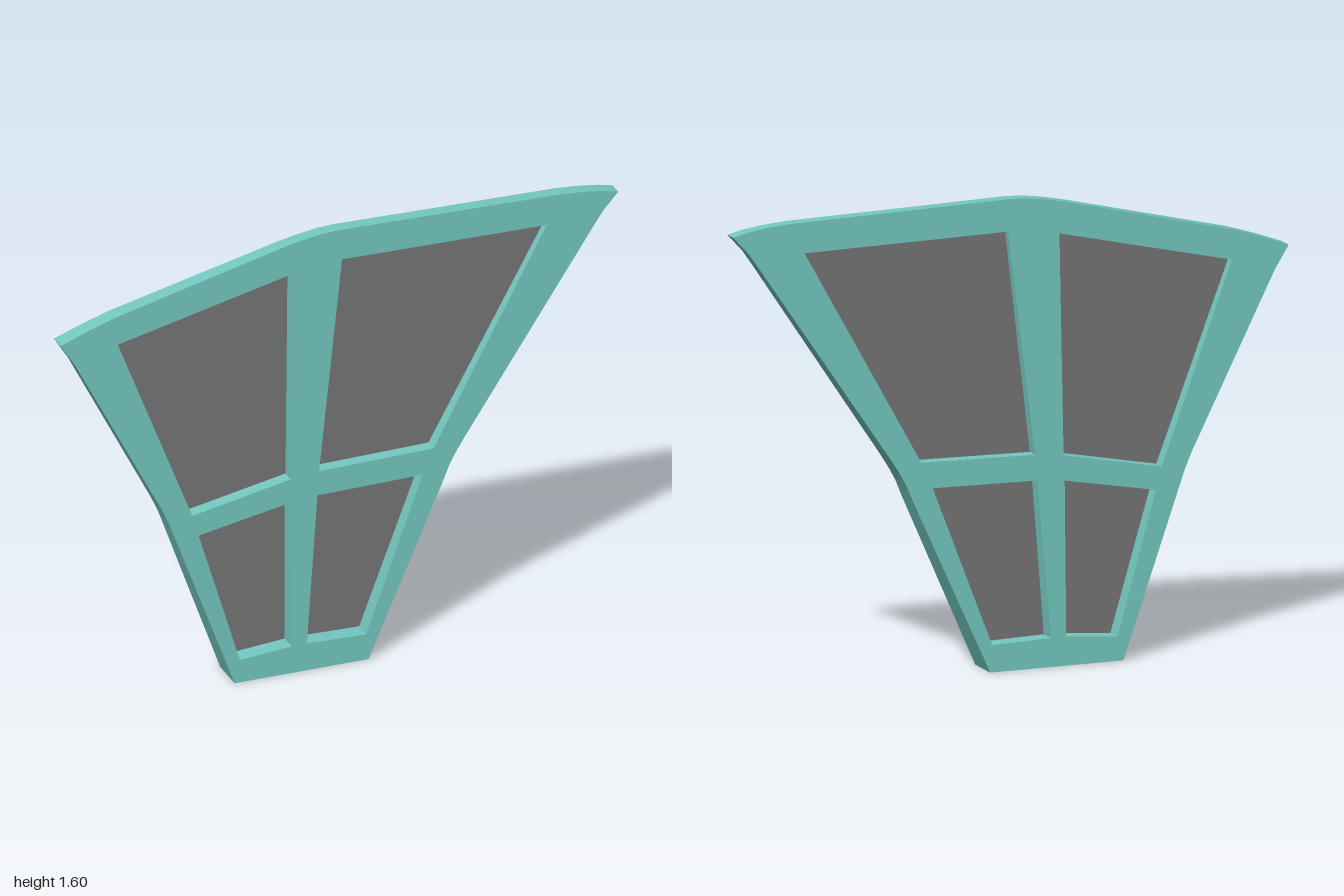
import * as THREE from 'three';
import { toCreasedNormals } from 'three/addons/utils/BufferGeometryUtils.js';

const toPoints = (list) => list.map(([x, y]) => new THREE.Vector2(x, y));

// Outer edge of the fan-shaped frame, counter-clockwise from the foot
const OUTLINE = [
  [-0.39, 0], [0.09, 0],
  [0.36, 0.6], [0.385, 0.66], [0.41, 0.705], [0.44, 0.752], [0.91, 1.445], [0.945, 1.495], [1, 1.555],
  [0.95, 1.567], [0.88, 1.577], [0.79, 1.584], [0.38, 1.592], [0, 1.6],
  [-0.06, 1.597], [-0.13, 1.587], [-0.2, 1.573], [-0.8, 1.427], [-0.9, 1.395], [-1, 1.358],
  [-0.95, 1.28], [-0.645, 0.69], [-0.62, 0.635], [-0.6, 0.58],
];

// Window openings, named as the model's own left and right
const WINDOWS = {
  upperRight: [[-0.795, 1.325], [-0.535, 0.645], [-0.182, 0.714], [-0.175, 1.468]],
  upperLeft: [[0.01, 1.49], [-0.08, 0.725], [0.33, 0.733], [0.743, 1.48]],
  lowerRight: [[-0.513, 0.568], [-0.37, 0.082], [-0.185, 0.098], [-0.185, 0.628]],
  lowerLeft: [[-0.087, 0.637], [-0.13, 0.098], [0.082, 0.093], [0.29, 0.643]],
};

// Half thickness tapers evenly from foot to top
const halfDepth = (y) => THREE.MathUtils.lerp(0.065, 0.024, y / 1.6);

export function createModel() {
  const model = new THREE.Group();
  model.name = 'windowPanel';
  const frameMaterial = new THREE.MeshStandardMaterial({ color: 0x74c8c1 });
  const paneMaterial = new THREE.MeshStandardMaterial({ color: 0x777777, side: THREE.DoubleSide });

  // Frame: pierced slab, tapered in depth
  const shape = new THREE.Shape(toPoints(OUTLINE));
  for (const corners of Object.values(WINDOWS)) shape.holes.push(new THREE.Path(toPoints(corners)));
  const slab = new THREE.ExtrudeGeometry(shape, { depth: 2, bevelEnabled: false });
  slab.translate(0, 0, -1);
  const pos = slab.attributes.position;
  for (let i = 0; i < pos.count; i++) pos.setZ(i, pos.getZ(i) * halfDepth(pos.getY(i)));
  const frame = new THREE.Mesh(toCreasedNormals(slab, 0.3), frameMaterial);
  frame.name = 'frame';
  model.add(frame);

  // Panes: thin sheets on the middle plane of the frame
  for (const [name, corners] of Object.entries(WINDOWS)) {
    const pane = new THREE.Mesh(new THREE.ShapeGeometry(new THREE.Shape(toPoints(corners))), paneMaterial);
    pane.name = `${name}Pane`;
    model.add(pane);
  }
  return model;
}
